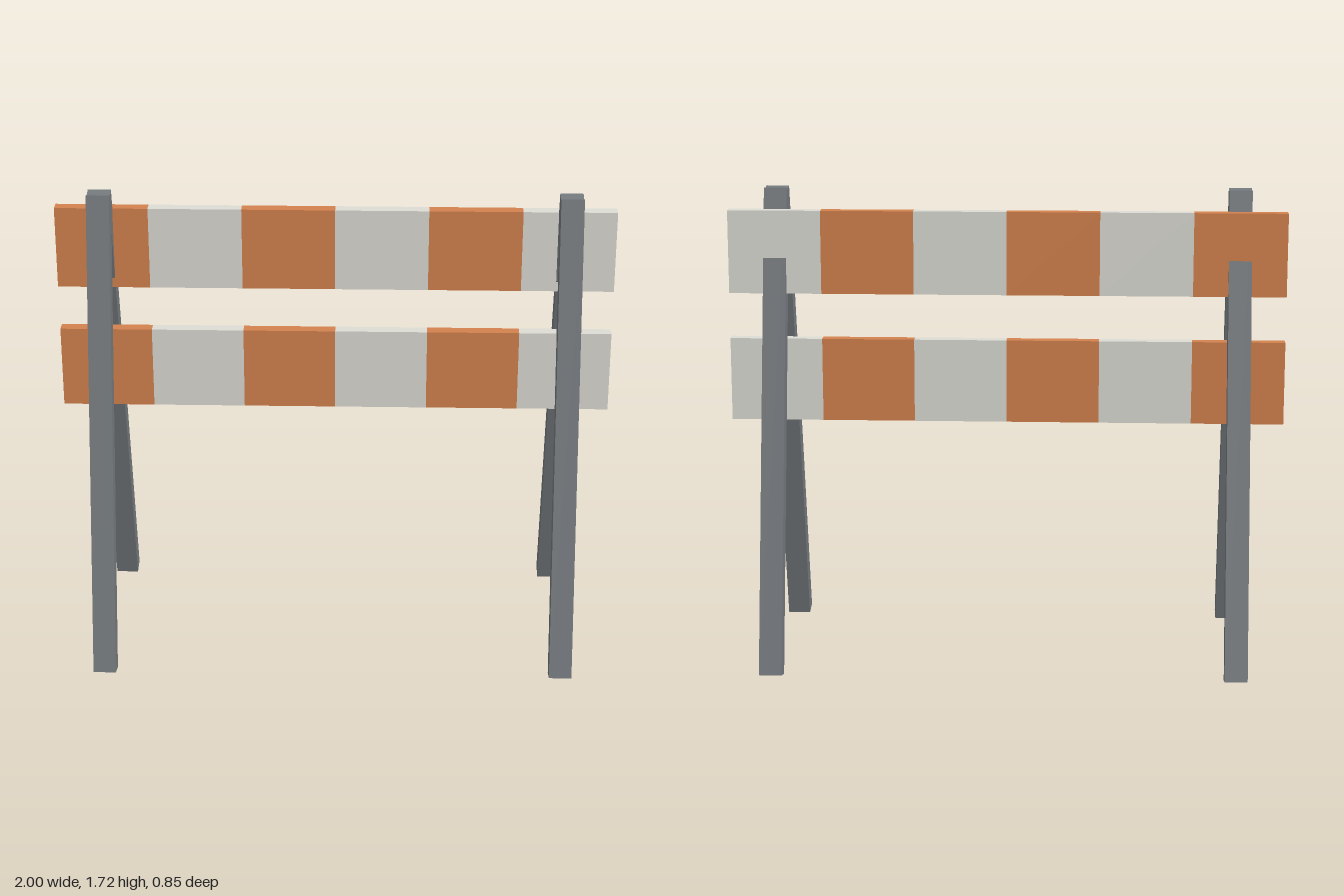
import * as THREE from 'three';

const steel = new THREE.MeshStandardMaterial({ color: 0x74797d });
const orange = new THREE.MeshStandardMaterial({ color: 0xd4824e });
const white = new THREE.MeshStandardMaterial({ color: 0xdddcd5 });

function box(name, w, h, d, material) {
  const mesh = new THREE.Mesh(new THREE.BoxGeometry(w, h, d), material);
  mesh.name = name;
  return mesh;
}

// Board made of six equal stripes in alternating colours
function stripedBoard(name, y) {
  const board = new THREE.Group();
  board.name = name;
  const count = 6, width = 2 / count;
  for (let i = 0; i < count; i++) {
    const stripe = box(i % 2 ? 'whiteStripe' : 'orangeStripe', width, 0.3, 0.045, i % 2 ? white : orange);
    stripe.position.x = -1 + (i + 0.5) * width;
    board.add(stripe);
  }
  board.position.set(0, y, -0.067);
  return board;
}

// A-frame: two square-ended legs leaning together at the top
function aFrame(name, x) {
  const frame = new THREE.Group();
  frame.name = name;
  for (const side of [1, -1]) {
    const leg = box(side > 0 ? 'frontLeg' : 'backLeg', 0.082, 1.75, 0.065, steel);
    leg.position.set(0, 0.86, side * 0.198);
    leg.rotation.x = -side * THREE.MathUtils.degToRad(13);
    frame.add(leg);
  }
  frame.position.x = x;
  return frame;
}

export function createModel() {
  const model = new THREE.Group();
  model.name = 'roadBarrier';
  model.add(aFrame('leftFrame', 0.833), aFrame('rightFrame', -0.833));
  model.add(stripedBoard('upperBoard', 1.495), stripedBoard('lowerBoard', 1.03));
  return model;
}
